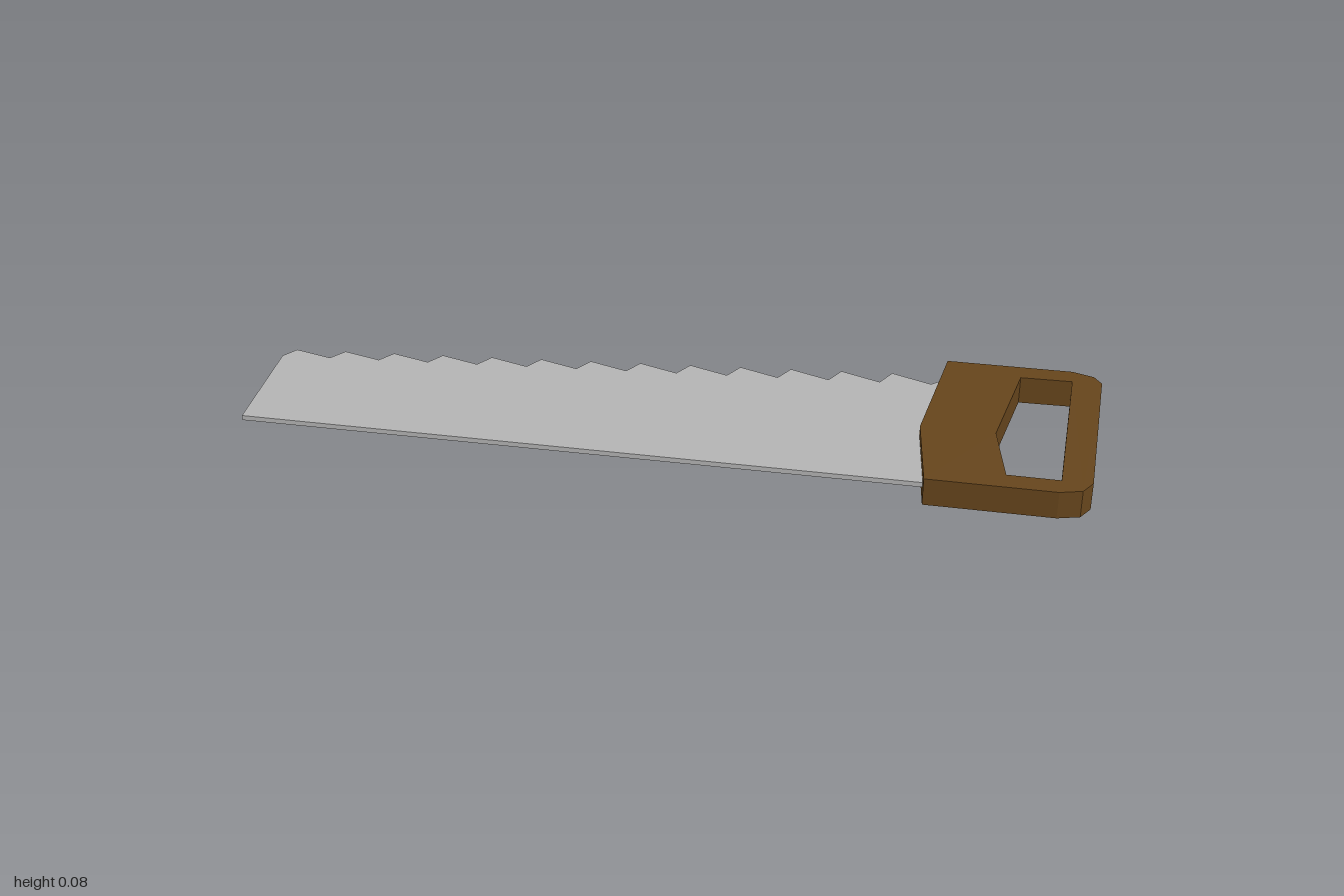
import * as THREE from 'three';

const ANGLE = 0.408; // heading of the saw in plan
const SLOPE = 0.02; // gentle rise from blade tip to handle

const points = (list) => list.map(([x, z]) => new THREE.Vector2(x, -z));

// Extrudes a plan outline of [x, z] points upward, then tilts it along the saw.
// The hole runs the opposite way round to the outline so its walls face inward.
function makePlate(name, outline, hole, thickness, base, material) {
  const shape = new THREE.Shape(points(outline));
  if (hole) shape.holes.push(new THREE.Path(points(hole)));
  const geometry = new THREE.ExtrudeGeometry(shape, { depth: thickness, bevelEnabled: false });
  geometry.rotateX(-Math.PI / 2);
  const p = geometry.attributes.position;
  for (let i = 0; i < p.count; i++) {
    const along = p.getX(i) * Math.cos(ANGLE) + p.getZ(i) * Math.sin(ANGLE);
    p.setY(i, p.getY(i) + base + SLOPE * along);
  }
  geometry.computeVertexNormals();
  const mesh = new THREE.Mesh(geometry, material);
  mesh.name = name;
  return mesh;
}

export function createModel() {
  const steel = new THREE.MeshStandardMaterial({ color: 0xb4b4b4 });
  steel.name = 'steel';
  const wood = new THREE.MeshStandardMaterial({ color: 0x66451c });
  wood.name = 'wood';

  // Blade: straight spine, blunt tip and a row of thirteen teeth
  const blade = [[-1, -0.259], [-0.889, -0.513]];
  for (let i = 0; i < 13; i++) {
    const x = -0.852 + i * 0.1164;
    const z = -0.533 + i * 0.0378;
    blade.push([x, z], [x + 0.076, z + 0.058 + i * 0.001]);
  }
  blade.push([0.66, -0.022], [0.72, 0.03], [0.6, 0.22], [0.55, 0.414]);

  // Handle: chamfered grip around an open hand hole
  const handle = [
    [0.678, -0.065], [0.951, 0.053], [0.992, 0.088], [1, 0.12], [0.833, 0.508],
    [0.8, 0.531], [0.748, 0.523], [0.474, 0.403], [0.529, 0.195],
  ];
  const handHole = [
    [0.689, 0.264], [0.657, 0.43], [0.769, 0.48], [0.935, 0.095], [0.823, 0.049],
  ];

  const saw = new THREE.Group();
  saw.name = 'handSaw';
  saw.add(
    makePlate('blade', blade, null, 0.0125, 0.0213, steel),
    makePlate('handle', handle, handHole, 0.07, -0.012, wood),
  );
  return saw;
}
